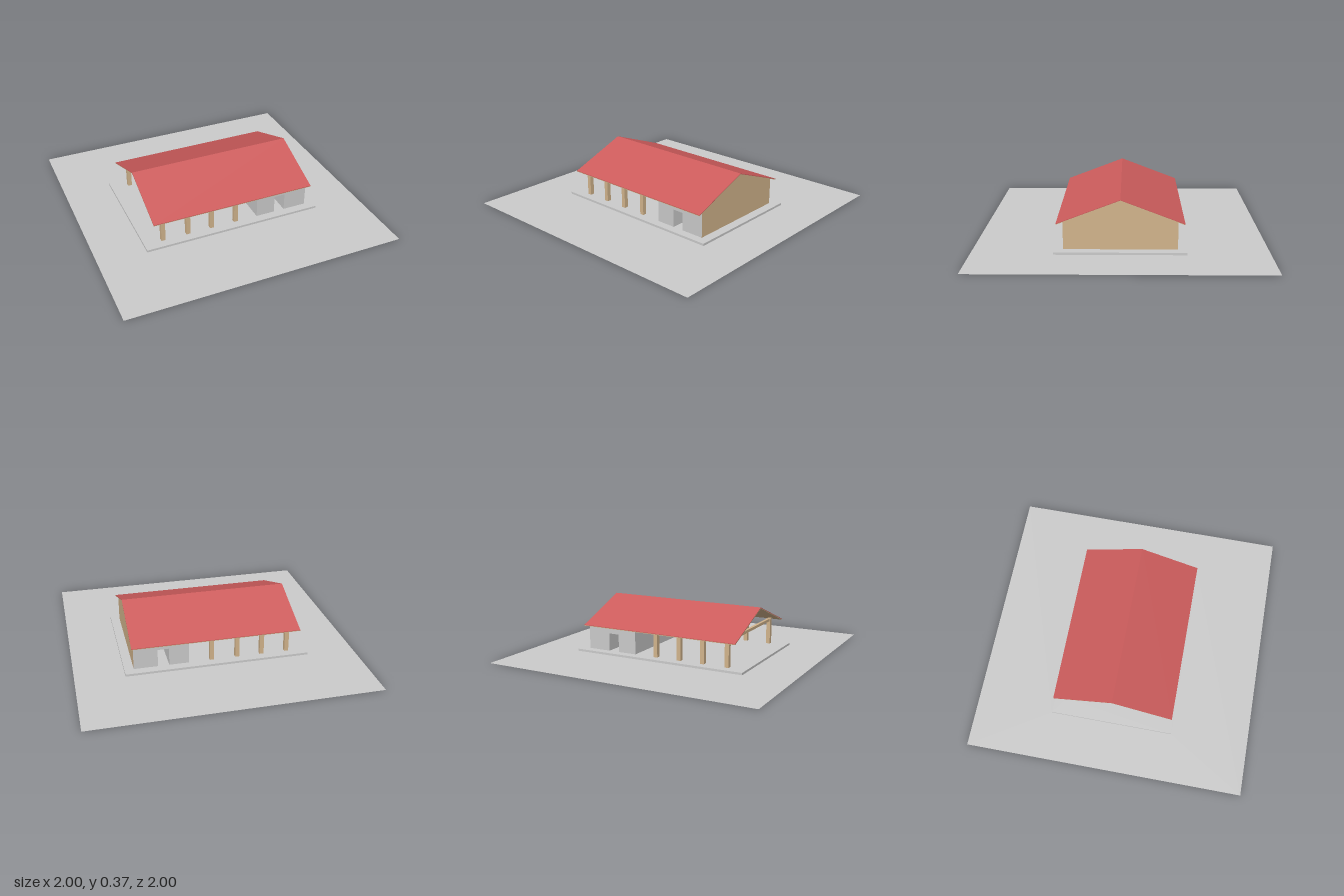
import * as THREE from 'three';

const mat = (color) => new THREE.MeshStandardMaterial({ color, side: THREE.DoubleSide, flatShading: true });

const FLOOR = 0.016, RIDGE = 0.365, EAVE = 0.2, ROOF_Z = 0.43;
const ROOM = { x0: 0.2, x1: 0.59, z: 0.385 };
const DOOR = { x0: 0.34, x1: 0.42, top: 0.145 };
const POST_X = [-0.515, -0.33, -0.15, 0.035], POST_Z = 0.37, POST_W = 0.03;

// height of the roof's upper surface at distance z from the ridge
const roofY = (z) => RIDGE - (RIDGE - EAVE) * Math.abs(z) / ROOF_Z;

const poly = (pts, Type = THREE.Shape) => new Type(pts.map(([x, y]) => new THREE.Vector2(x, y)));
const rect = (x0, y0, x1, y1, Type) => poly([[x0, y0], [x1, y0], [x1, y1], [x0, y1]], Type);

export function createModel() {
  const grey = mat(0xcccccc), wood = mat(0xd2b48c), red = mat(0xcd5c5c);
  const model = new THREE.Group();
  model.name = 'pavilion';

  const add = (name, geometry, material, parent = model) => {
    const mesh = new THREE.Mesh(geometry, material);
    mesh.name = name;
    parent.add(mesh);
    return mesh;
  };
  const group = (name) => {
    const g = new THREE.Group();
    g.name = name;
    model.add(g);
    return g;
  };
  // flat sheet lying at height y
  const sheet = (name, shape, y, parent) =>
    add(name, new THREE.ShapeGeometry(shape).rotateX(-Math.PI / 2).translate(0, y, 0), grey, parent);
  // upright sheet across the building, drawn in z and y
  const crossWall = (name, shape, x, material, parent) =>
    add(name, new THREE.ShapeGeometry(shape).rotateY(Math.PI / 2).translate(x, 0, 0), material, parent);

  // ground, cut out beneath the slab
  const SX = 0.655, SZ = 0.445;
  const ground = rect(-1, -1, 1, 1);
  ground.holes.push(rect(-SX, -SZ, SX, SZ, THREE.Path));
  sheet('ground', ground, 0);

  // raised floor slab, open where the rooms and posts stand
  const slab = group('floorSlab');
  const top = rect(-SX, -SZ, SX, SZ);
  top.holes.push(rect(ROOM.x0, -ROOM.z, DOOR.x0, ROOM.z, THREE.Path));
  top.holes.push(rect(DOOR.x1, -ROOM.z, ROOM.x1, ROOM.z, THREE.Path));
  const h = POST_W / 2;
  for (const x of POST_X) for (const z of [-POST_Z, POST_Z])
    top.holes.push(rect(x - h, z - h, x + h, z + h, THREE.Path));
  sheet('slabTop', top, FLOOR, slab);
  for (const s of [-1, 1]) {
    add('slabLongEdge', new THREE.PlaneGeometry(2 * SX, FLOOR).rotateY(s > 0 ? 0 : Math.PI)
      .translate(0, FLOOR / 2, s * SZ), grey, slab);
    add('slabShortEdge', new THREE.PlaneGeometry(2 * SZ, FLOOR).rotateY(s * Math.PI / 2)
      .translate(s * SX, FLOOR / 2, 0), grey, slab);
  }

  // enclosed rooms with a passage running through them
  const rooms = group('rooms');
  const wallTop = roofY(ROOM.z) - 0.008;
  const gable = poly([[-ROOM.z, FLOOR], [ROOM.z, FLOOR], [ROOM.z, wallTop], [0, RIDGE - 0.008], [-ROOM.z, wallTop]]);
  crossWall('gableWall', gable, ROOM.x1, wood, rooms);
  crossWall('innerGableWall', gable, ROOM.x0, grey, rooms);
  const facade = poly([
    [ROOM.x0, FLOOR], [DOOR.x0, FLOOR], [DOOR.x0, DOOR.top], [DOOR.x1, DOOR.top],
    [DOOR.x1, FLOOR], [ROOM.x1, FLOOR], [ROOM.x1, wallTop], [ROOM.x0, wallTop]]);
  for (const s of [-1, 1]) {
    const g = new THREE.ShapeGeometry(facade).translate(0, 0, s * ROOM.z);
    add(s > 0 ? 'frontWall' : 'backWall', g, grey, rooms);
  }
  const side = rect(-ROOM.z, FLOOR, ROOM.z, DOOR.top);
  crossWall('passageWall', side, DOOR.x0, grey, rooms);
  crossWall('passageWall', side, DOOR.x1, grey, rooms);
  sheet('passageCeiling', rect(DOOR.x0, -ROOM.z, DOOR.x1, ROOM.z), DOOR.top, rooms);

  // posts (hollow square tubes) and a tie beam over each pair
  const frames = group('postFrames');
  const postTop = roofY(POST_Z + h) - 0.008;
  for (const x of POST_X) {
    for (const z of [-POST_Z, POST_Z]) {
      const post = new THREE.CylinderGeometry(h * Math.SQRT2, h * Math.SQRT2, postTop - FLOOR, 4, 1, true);
      add('post', post.rotateY(Math.PI / 4).translate(x, (postTop + FLOOR) / 2, z), wood, frames);
    }
    add('tieBeam', new THREE.BoxGeometry(0.02, 0.02, 2 * (POST_Z - h))
      .translate(x, postTop - 0.011, 0), wood, frames);
  }

  // gable roof: red covering on a thin timber deck
  const roof = group('roof');
  const roofLayer = (name, upper, lower, material) => {
    const pts = [[-ROOF_Z, EAVE - upper], [0, RIDGE - upper], [ROOF_Z, EAVE - upper],
      [ROOF_Z, EAVE - lower], [0, RIDGE - lower], [-ROOF_Z, EAVE - lower]];
    const g = new THREE.ExtrudeGeometry(poly(pts), { depth: 1.2, bevelEnabled: false });
    add(name, g.rotateY(Math.PI / 2).translate(-0.595, 0, 0), material, roof);
  };
  roofLayer('roofCovering', 0, 0.004, red);
  roofLayer('roofDeck', 0.004, 0.008, wood);

  return model;
}
